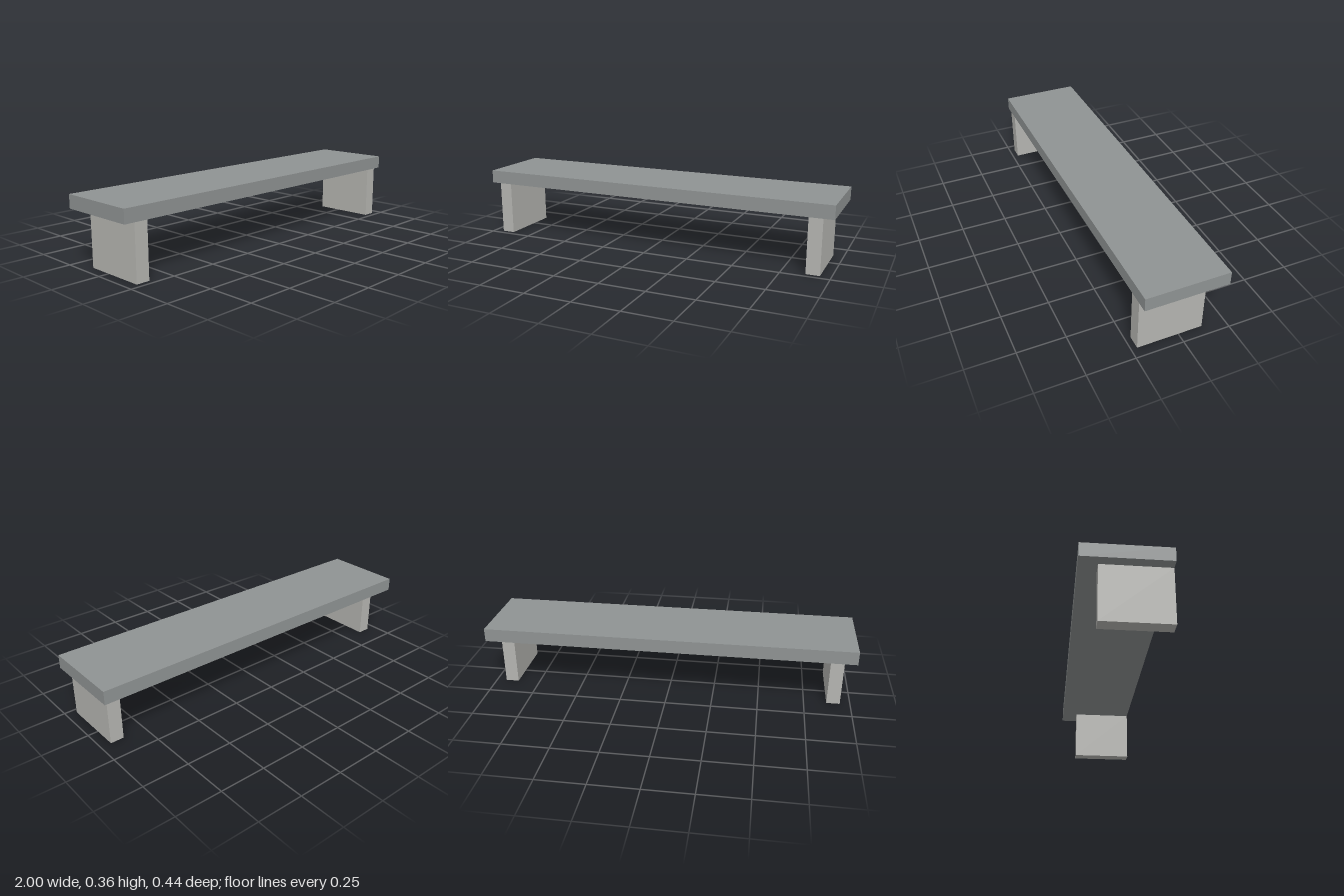
import * as THREE from 'three';

export function createModel() {
  const bench = new THREE.Group();
  bench.name = 'bench';

  const slate = new THREE.MeshStandardMaterial({ color: 0x8f9393 });
  slate.name = 'slate grey';
  const stone = new THREE.MeshStandardMaterial({ color: 0xb5b5b1 });
  stone.name = 'pale stone';

  const legHeight = 0.292;
  const thickness = 0.072;
  const depth = 0.438;
  const legDepth = 0.347;

  // Seat slab
  const seat = new THREE.Mesh(new THREE.BoxGeometry(2, thickness, depth), slate);
  seat.name = 'seat';
  seat.position.y = legHeight + thickness / 2;
  bench.add(seat);

  // Slab legs, flush with the front edge of the seat and set in at the back
  const legGeometry = new THREE.BoxGeometry(thickness, legHeight, legDepth);
  for (const side of [-1, 1]) {
    const leg = new THREE.Mesh(legGeometry, stone);
    leg.name = side > 0 ? 'leftLeg' : 'rightLeg';
    leg.position.set(side * 0.909, legHeight / 2, (depth - legDepth) / 2);
    bench.add(leg);
  }

  return bench;
}
